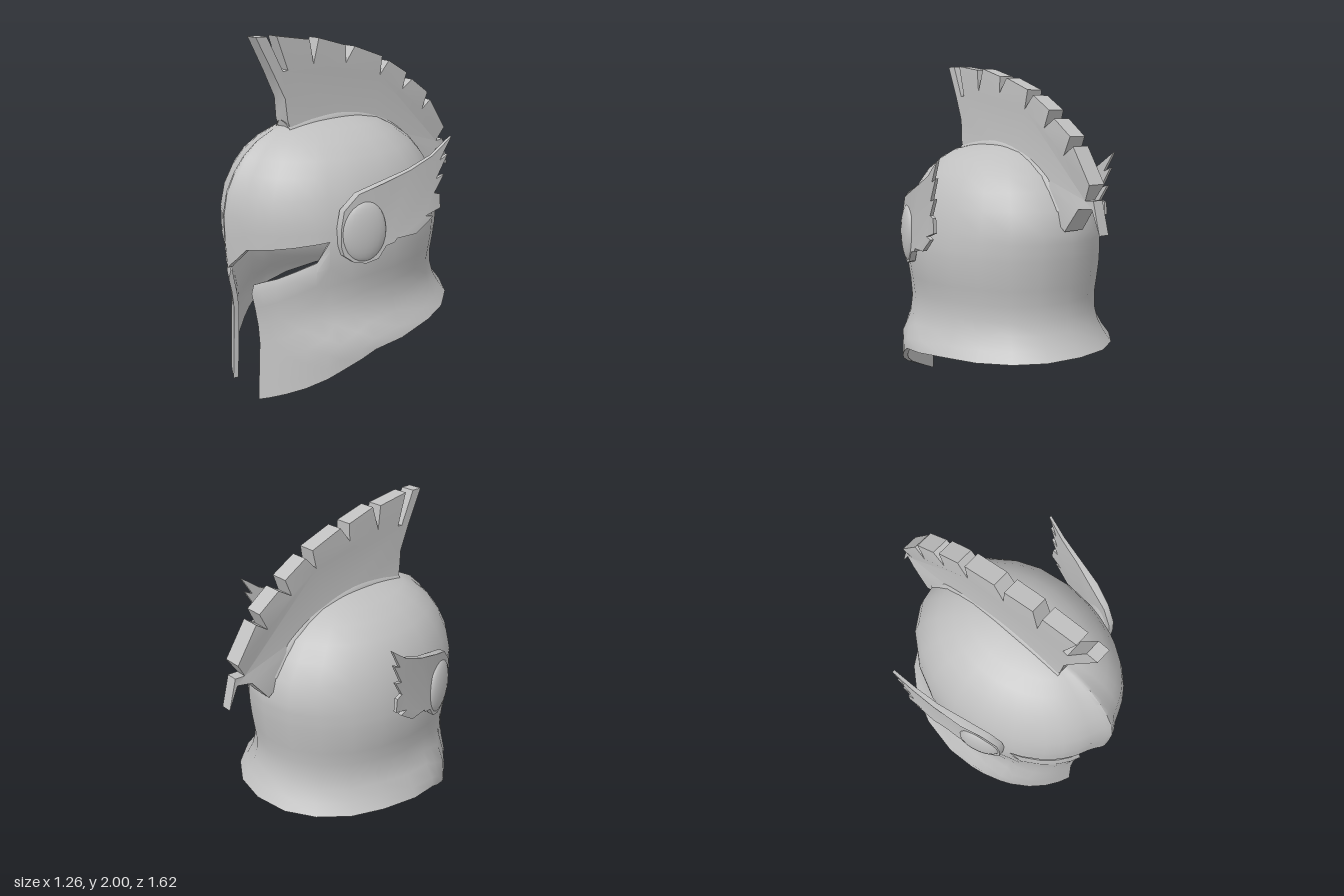
import * as THREE from 'three';
import { mergeGeometries, toCreasedNormals } from 'three/addons/utils/BufferGeometryUtils.js';

const ZC = 0.08; // z of the widest point of every cross-section
const THICK = 0.03;
const CORNER = 1.02; // angle where the eye slot ends

// Cross-sections: height, half width, front z, back z
const SECTIONS = [
  [1.55, 0, ZC, ZC], [1.53, 0.09, 0.32, -0.08], [1.5, 0.21, 0.47, -0.2], [1.45, 0.3, 0.56, -0.3],
  [1.38, 0.385, 0.64, -0.4], [1.3, 0.44, 0.7, -0.47], [1.2, 0.485, 0.75, -0.54],
  [1.08, 0.515, 0.775, -0.575], [0.97, 0.53, 0.775, -0.575], [0.85, 0.53, 0.775, -0.565],
  [0.65, 0.5, 0.755, -0.54], [0.55, 0.512, 0.735, -0.565], [0.48, 0.54, 0.725, -0.605],
  [0.4, 0.6, 0.72, -0.665], [0, 0.6, 0.745, -0.66],
];
// Edges as [angle from the front, height]
const BROW = [[0, 0.78], [0.24, 0.91], [CORNER, 0.98], [4, 0.98]];
const CHEEK_TOP = [[0.24, 0.7], [0.54, 0.76], [0.91, 0.86], [CORNER, 0.98], [4, 0.98]];
const BOTTOM = [[0.24, 0], [0.84, 0.17], [CORNER, 0.24], [1.33, 0.345], [1.92, 0.395], [Math.PI, 0.415]];
const ANGLES = [0, 0.06, 0.13, 0.24, 0.38, 0.54, 0.72, 0.91, CORNER, 1.2, 1.33, 1.6, 1.92, 2.2, 2.5, 2.8, Math.PI];

// Linear lookup in a table sorted by its first column
function lookup(table, key, column = 1) {
  const up = table[0][0] < table[table.length - 1][0];
  const rows = up ? table : [...table].reverse();
  if (key <= rows[0][0]) return rows[0][column];
  for (let i = 1; i < rows.length; i++) {
    if (key <= rows[i][0]) {
      const f = (key - rows[i - 1][0]) / (rows[i][0] - rows[i - 1][0]);
      return THREE.MathUtils.lerp(rows[i - 1][column], rows[i][column], f);
    }
  }
  return rows[rows.length - 1][column];
}

// Point on the helmet wall; inset moves it inward
function wallPoint(angle, side, y, inset, minX) {
  const w = Math.max(0, lookup(SECTIONS, y, 1) - inset);
  const front = Math.max(ZC, lookup(SECTIONS, y, 2) - inset);
  const back = Math.min(ZC, lookup(SECTIONS, y, 3) + inset);
  const a = minX && w > minX ? Math.max(angle, Math.asin(minX / w)) : angle;
  const c = Math.cos(a);
  const ridge = 0.035 * Math.exp(-((a / 0.1) ** 2)) * Math.min(1, w / 0.3);
  const drop = inset * THREE.MathUtils.clamp((y - 1.1) / 0.4, 0, 1);
  return [side * w * Math.sin(a), y - drop, ZC + c * (c > 0 ? front - ZC : ZC - back) + ridge];
}

// Thick wall: each column is a ring, down the outside and up the inside
function wall(angles, heights, minX, edgeInset) {
  const all = [
    ...angles.map((a) => [a, 1]),
    ...angles.filter((a) => a < Math.PI).reverse().map((a) => [a, -1]),
  ];
  const pos = [], index = [];
  let n = 0;
  for (const [a, side] of all) {
    const ys = heights(a);
    n = ys.length;
    ys.forEach((y, i) => pos.push(...wallPoint(a, side, y, i === 0 && a < CORNER ? edgeInset : 0, minX)));
    for (let i = n - 1; i >= 0; i--) pos.push(...wallPoint(a, side, ys[i], THICK, minX));
  }
  const ring = 2 * n;
  const quad = (a, b, c, d) => index.push(a, b, c, a, c, d);
  for (let j = 0; j < all.length - 1; j++) {
    for (let i = 0; i < ring; i++) {
      const k = (i + 1) % ring;
      quad(j * ring + i, j * ring + k, (j + 1) * ring + k, (j + 1) * ring + i);
    }
  }
  if (minX) { // close the two upright front edges
    const last = (all.length - 1) * ring;
    for (let i = 0; i < n - 1; i++) {
      quad(i, ring - 1 - i, ring - 2 - i, i + 1);
      quad(last + i, last + i + 1, last + ring - 2 - i, last + ring - 1 - i);
    }
  }
  const g = new THREE.BufferGeometry();
  g.setAttribute('position', new THREE.Float32BufferAttribute(pos, 3));
  g.setIndex(index);
  return g;
}

// Side outline in (z, y), extruded across x and shaped by rule(x, y, z) -> x
function sidePlate(outline, rule) {
  const shape = new THREE.Shape(outline.map(([z, y]) => new THREE.Vector2(z, y)));
  const g = new THREE.ExtrudeGeometry(shape, { depth: 2, bevelEnabled: false });
  g.translate(0, 0, -1).rotateY(-Math.PI / 2);
  const p = g.attributes.position;
  for (let i = 0; i < p.count; i++) p.setX(i, rule(p.getX(i), p.getY(i), p.getZ(i)));
  return toCreasedNormals(g, 0.6);
}

const CREST = [
  [0.4, 1.46], [0.43, 1.55], [0.44, 1.67], [0.51, 1.82], [0.6, 2], [0.535, 2], [0.445, 1.815],
  [0.415, 1.82], [0.475, 2], [0.27, 1.97], [0.25, 1.84], [0.21, 1.975], [0.03, 1.925], [0.03, 1.83],
  [-0.035, 1.915], [-0.235, 1.845], [-0.215, 1.74], [-0.285, 1.815], [-0.425, 1.735], [-0.39, 1.64],
  [-0.47, 1.69], [-0.6, 1.6], [-0.555, 1.5], [-0.625, 1.55], [-0.755, 1.36], [-0.705, 1.275],
  [-0.765, 1.28], [-0.815, 1.105], [-0.755, 1.235], [-0.68, 1.23], [-0.58, 1.1],
  [-0.48, 1.17], [-0.35, 1.33], [-0.15, 1.45], [0.12, 1.48],
];
const WING = [
  [0.405, 0.96], [0.39, 0.905], [0.34, 0.865], [0.275, 0.85], [0.21, 0.87], [0.165, 0.935],
  [0.115, 0.945], [0.1, 0.965], [-0.02, 0.97], [-0.13, 1.05], [-0.08, 1.06], [-0.175, 1.09],
  [-0.17, 1.17], [-0.13, 1.18], [-0.19, 1.275], [-0.14, 1.26], [-0.21, 1.385], [-0.16, 1.36],
  [-0.23, 1.48], [-0.19, 1.45], [-0.11, 1.39], [0.03, 1.33], [0.19, 1.28], [0.315, 1.235],
  [0.39, 1.15], [0.405, 1.05],
];
// Wing distance from the middle and half thickness along z
const WING_BEND = [[-0.23, 0.622, 0.008], [0, 0.59, 0.014], [0.2, 0.55, 0.02], [0.41, 0.475, 0.02]];

export function createModel() {
  const group = new THREE.Group();
  group.name = 'helmet';
  const metal = new THREE.MeshStandardMaterial({ color: 0xc0c0c0, side: THREE.DoubleSide });
  metal.name = 'grey metal';
  const add = (name, geometry) => {
    const mesh = new THREE.Mesh(geometry, metal);
    mesh.name = name;
    group.add(mesh);
    return mesh;
  };

  // Dome with brow, and the skirt with cheek guards, smoothed as one shell
  const cap = wall(ANGLES, (a) => {
    const low = lookup(BROW, a);
    return [1.55, 1.53, 1.5, 1.45, 1.38, 1.3, 1.2, 1.08, (1.08 + low) / 2, low];
  }, 0, 0);
  const skirt = wall(ANGLES.filter((a) => a >= 0.24), (a) => {
    const top = lookup(CHEEK_TOP, a), low = lookup(BOTTOM, a);
    return [0, 0.07, 0.2, 0.35, 0.5, 0.65, 0.78, 0.9, 1].map((f) => THREE.MathUtils.lerp(top, low, f));
  }, 0.125, 0.02);
  add('shell', toCreasedNormals(mergeGeometries([cap, skirt]), 0.7));

  // Feathered crest, thinner away from the dome
  add('crest', sidePlate(CREST, (x, y, z) => {
    const r = Math.hypot(z - 0.05, y - 0.9);
    const tail = y < 1.3 && z < -0.7 ? 0.6 : 1;
    return x * tail * THREE.MathUtils.mapLinear(THREE.MathUtils.clamp(r, 0.6, 1.15), 0.6, 1.15, 0.066, 0.042);
  }));

  // Rounded root where the crest meets the dome
  const arc = new THREE.CatmullRomCurve3(
    [[0.42, 1.47], [0.25, 1.5], [0.05, 1.51], [-0.18, 1.46], [-0.38, 1.33], [-0.5, 1.18]]
      .map(([z, y]) => new THREE.Vector3(0, y, z)));
  add('crestRoot', new THREE.TubeGeometry(arc, 20, 0.078, 12));

  // Wings with a rounded boss at the front
  for (const [label, side] of [['left', 1], ['right', -1]]) {
    add(label + 'Wing', sidePlate(WING, (x, y, z) =>
      side * lookup(WING_BEND, z, 1) + x * lookup(WING_BEND, z, 2)));
    const boss = add(label + 'WingBoss', new THREE.SphereGeometry(1, 20, 14));
    boss.scale.set(0.045, 0.17, 0.125);
    boss.position.set(side * 0.525, 1.025, 0.28);
    boss.rotation.y = -side * 0.33;
  }
  return group;
}
